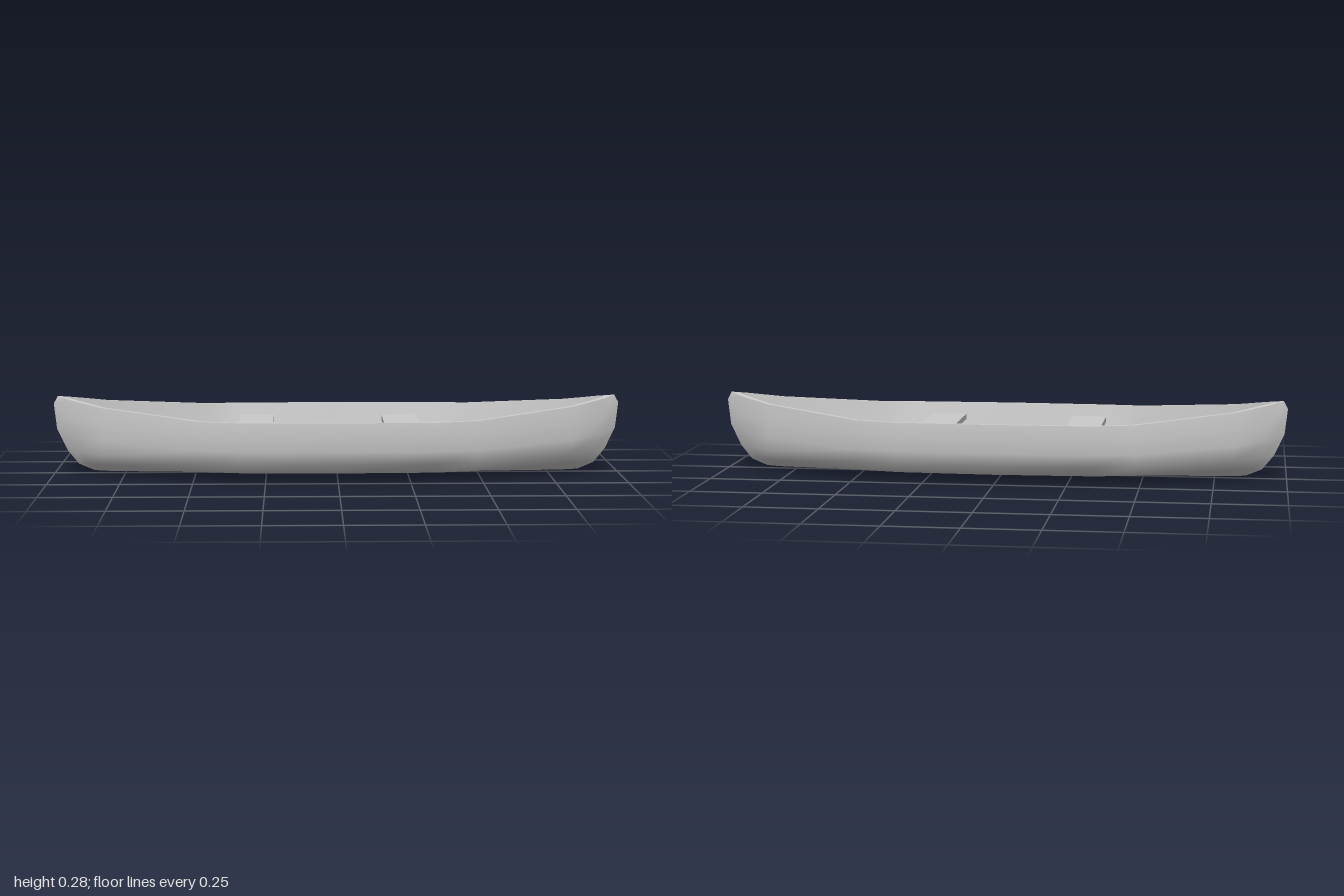
import * as THREE from 'three';

const grey = new THREE.MeshStandardMaterial({ color: 0xcccccc, side: THREE.DoubleSide });

// Half stations from midships to the stem: each row is a list of [x, y, z].
// Outer rows run from gunwale to keel.
const outer = [
  [[0, 0.216, 0.287], [0, 0.17, 0.287], [0, 0.115, 0.279], [0, 0.07, 0.267], [0, 0.033, 0.222], [0, 0.002, 0]],
  [[0.34, 0.216, 0.278], [0.34, 0.17, 0.278], [0.34, 0.115, 0.27], [0.34, 0.07, 0.257], [0.34, 0.033, 0.21], [0.34, 0.003, 0]],
  [[0.48, 0.218, 0.251], [0.48, 0.17, 0.253], [0.48, 0.115, 0.246], [0.48, 0.07, 0.232], [0.48, 0.034, 0.185], [0.48, 0.004, 0]],
  [[0.82, 0.248, 0.113], [0.82, 0.19, 0.116], [0.82, 0.13, 0.112], [0.82, 0.08, 0.103], [0.81, 0.042, 0.075], [0.8, 0.008, 0]],
  [[0.94, 0.268, 0.045], [0.94, 0.2, 0.046], [0.93, 0.14, 0.042], [0.905, 0.08, 0.035], [0.88, 0.04, 0.025], [0.84, 0.01, 0]],
  [[0.985, 0.277, 0], [1, 0.25, 0], [0.99, 0.16, 0], [0.955, 0.085, 0], [0.915, 0.035, 0], [0.86, 0.012, 0]],
];
// Inner rows: gunwale edge, then floor edge.
const floorY = 0.065;
const inner = [
  [[0, 0.216, 0.268], [0, floorY, 0.256]],
  [[0.34, 0.216, 0.258], [0.34, floorY, 0.24]],
  [[0.47, 0.218, 0.236], [0.46, floorY, 0.222]],
  [[0.81, 0.248, 0.101], [0.81, floorY, 0.09]],
  [[0.91, 0.266, 0.042], [0.88, floorY, 0.035]],
  [[0.96, 0.274, 0], [0.925, floorY, 0]],
];

// Full-length list of stations, bow mirrored to stern.
const flipX = (row) => row.map(([x, y, z]) => [-x, y, z]);
const fullLength = (half) => [...half.slice(1).reverse().map(flipX), ...half];
const flipZ = (row) => row.map(([x, y, z]) => [x, y, -z]);

// Smooth skin stretched across successive sections.
function skin(name, sections) {
  const n = sections[0].length;
  const index = [];
  for (let i = 0; i < sections.length - 1; i++) {
    for (let j = 0; j < n - 1; j++) {
      const a = i * n + j, b = a + 1, c = a + n, d = c + 1;
      index.push(a, b, c, b, d, c);
    }
  }
  const geometry = new THREE.BufferGeometry();
  geometry.setAttribute('position', new THREE.Float32BufferAttribute(sections.flat(2), 3));
  geometry.setIndex(index);
  geometry.computeVertexNormals();
  const mesh = new THREE.Mesh(geometry, grey);
  mesh.name = name;
  return mesh;
}

export function createModel() {
  const group = new THREE.Group();
  group.name = 'canoe';
  const out = fullLength(outer);
  const ins = fullLength(inner);

  // Hull: one section from gunwale to gunwale under the keel
  group.add(skin('hull', out.map((row) => [...row, ...flipZ(row).reverse().slice(1)])));

  // Floor
  group.add(skin('floor', ins.map(([, f]) => [flipZ([f])[0], f])));

  // Gunwales and inner walls, one of each per side
  for (const side of [1, -1]) {
    const place = (row) => (side > 0 ? row : flipZ(row).reverse());
    const label = side > 0 ? 'front' : 'back';
    group.add(skin(label + 'Gunwale', ins.map((row, i) => place([row[0], out[i][0]]))));
    group.add(skin(label + 'InnerWall', ins.map((row) => place([row[1], row[0]]))));
  }

  // Seats
  for (const [name, x, width] of [['rightSeat', -0.287, 0.52], ['leftSeat', 0.23, 0.525]]) {
    const seat = new THREE.Mesh(new THREE.BoxGeometry(0.122, 0.02, width), grey);
    seat.name = name;
    seat.position.set(x, 0.165, 0);
    group.add(seat);
  }
  return group;
}
